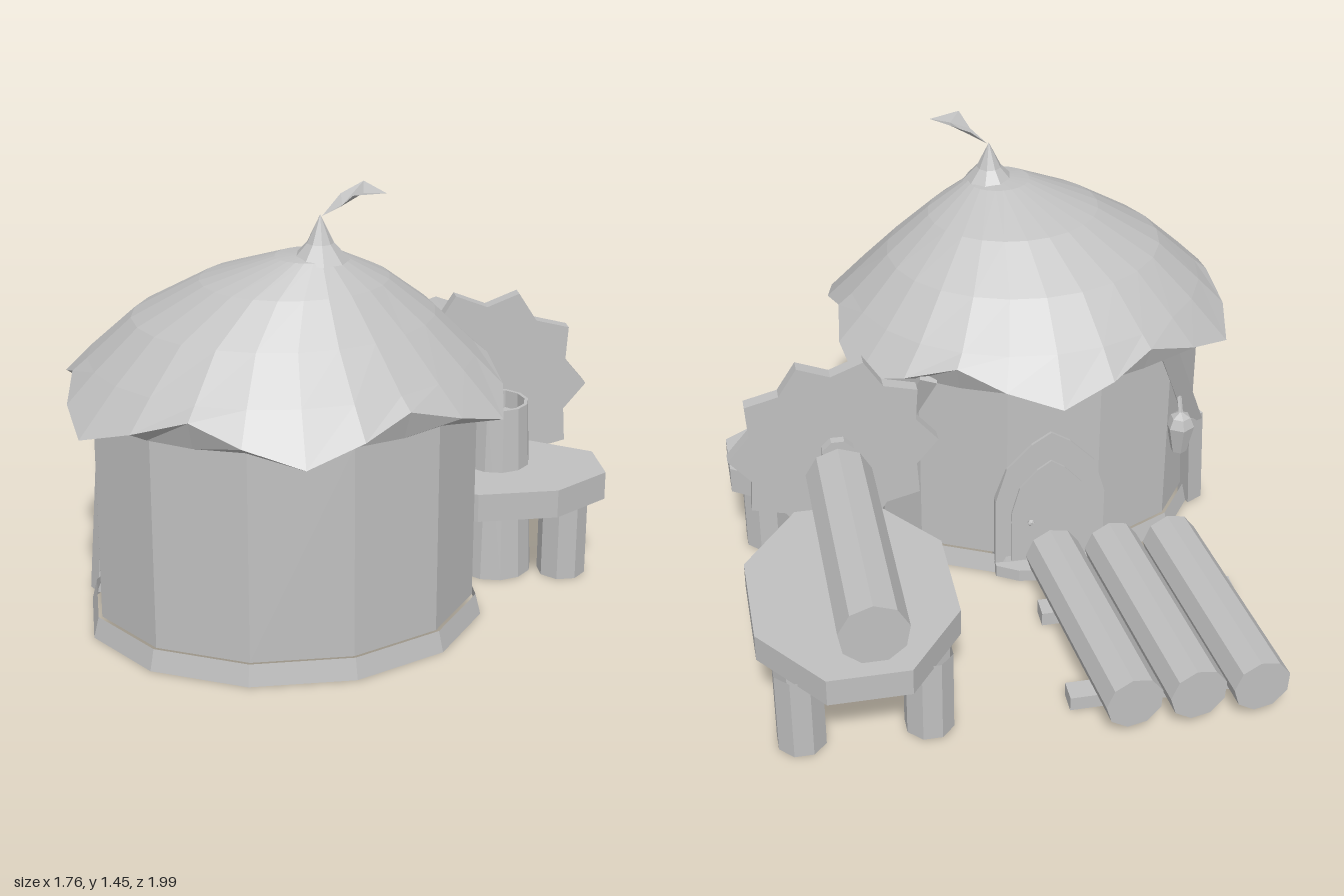
import * as THREE from 'three';

const SX = 1.18; // the hut is wider than deep
const HUT = { x: -0.21, z: 0.37 };

export function createModel() {
  const model = new THREE.Group();
  model.name = 'woodcutterHut';
  const grey = new THREE.MeshStandardMaterial({ color: 0xc0c0c0, flatShading: true, side: THREE.DoubleSide });
  grey.name = 'plainGrey';

  const add = (name, geo, x = 0, y = 0, z = 0) => {
    const mesh = new THREE.Mesh(geo, grey);
    mesh.name = name;
    mesh.position.set(x, y, z);
    model.add(mesh);
    return mesh;
  };
  const surface = (points, index) => {
    const geo = new THREE.BufferGeometry();
    geo.setAttribute('position', new THREE.Float32BufferAttribute(points, 3));
    geo.setIndex(index);
    geo.computeVertexNormals();
    return geo;
  };

  // Places a geometry built along y so that it runs from a to b
  const between = (name, a, b, makeGeo) => {
    const p = new THREE.Vector3(...a), q = new THREE.Vector3(...b);
    const dir = q.clone().sub(p);
    const mesh = add(name, makeGeo(dir.length()));
    mesh.position.copy(p).add(q).multiplyScalar(0.5);
    mesh.quaternion.setFromUnitVectors(new THREE.Vector3(0, 1, 0), dir.normalize());
  };
  const rod = (name, a, b, r, sides = 8, open = false) => between(name, a, b,
    len => new THREE.CylinderGeometry(r, r, len, sides, 1, open, Math.PI / sides));
  const lathe = (points, sides) => new THREE.LatheGeometry(points.map(p => new THREE.Vector2(...p)), sides);

  // Flat outline with thickness
  const plate = (points, depth) => new THREE.ExtrudeGeometry(
    new THREE.Shape(points.map(p => new THREE.Vector2(...p))), { depth, bevelEnabled: false });

  // Hut walls with a raised floor, and an open plinth ring, twelve sided ovals
  const drum = (name, rTop, rBottom, y0, y1, open) => add(name,
    new THREE.CylinderGeometry(rTop, rBottom, y1 - y0, 12, 1, open, Math.PI / 12).scale(1.213, 1, 1),
    HUT.x, (y0 + y1) / 2, HUT.z + 0.005);
  drum('wall', 0.506, 0.506, 0.07, 0.757, false);
  drum('plinth', 0.516, 0.53, 0, 0.07, true);

  // Roof: flat soffit, eave with six drooping points, leaning towards its top
  const N = 24;
  const rings = [
    { y: 0.757, r: 0.44, sx: 1.21, x: -0.21, z: 0.37 },
    { y: 0.757, r: 0.515, sx: 1.21, x: -0.21, z: 0.37 },
    { eave: true, sx: SX, x: -0.21, z: 0.37 },
    { y: 0.89, r: 0.512, sx: SX, x: -0.21, z: 0.37 },
    { y: 1.02, r: 0.38, sx: 1.24, x: -0.205, z: 0.383 },
    { y: 1.14, r: 0.238, sx: 1.23, x: -0.175, z: 0.415 },
    { y: 1.225, r: 0.09, sx: SX, x: -0.135, z: 0.47 },
    { y: 1.24, r: 0, sx: SX, x: -0.105, z: 0.485 },
  ];
  const pos = [], idx = [];
  rings.forEach((ring, j) => {
    for (let i = 0; i <= N; i++) {
      const t = (i / N) * Math.PI * 2;
      const wave = Math.cos(t * 6);
      const r = ring.eave ? 0.588 + 0.037 * wave : ring.r;
      const y = ring.eave ? 0.798 - 0.052 * wave : ring.y;
      pos.push(ring.x + r * ring.sx * Math.sin(t), y, ring.z + r * Math.cos(t));
      if (j && i < N) {
        const a = (j - 1) * (N + 1) + i, b = a + N + 1;
        idx.push(a, a + 1, b + 1, a, b + 1, b);
      }
    }
  });
  add('roof', surface(pos, idx));
  add('roofTip', lathe([[0.09, 1.215], [0.042, 1.268], [0, 1.355]], 9), -0.105, 0, 0.487);

  // Leaf curling from the roof tip: stem, then near edge, middle and far edge twice, then point
  add('leaf', surface([
    -0.1, 1.35, 0.49,
    -0.05, 1.39, 0.535, -0.04, 1.385, 0.5, -0.04, 1.41, 0.46,
    -0.02, 1.435, 0.583, 0.02, 1.425, 0.52, 0.03, 1.445, 0.455,
    0.085, 1.43, 0.55,
  ], [0, 1, 2, 0, 2, 3, 1, 4, 5, 1, 5, 2, 2, 5, 6, 2, 6, 3, 4, 7, 5, 5, 7, 6]));

  // Pointed door in the back wall, with frame, knob and step
  const arch = (w, h) => [[-w, 0], [w, 0], [w, h * 0.5], [w * 0.8, h * 0.75], [w * 0.35, h * 0.92],
    [0, h], [-w * 0.35, h * 0.92], [-w * 0.8, h * 0.75], [-w, h * 0.5]];
  add('doorFrame', plate(arch(0.19, 0.53), 0.05), -0.2, 0.04, -0.124);
  add('doorPanel', plate(arch(0.135, 0.41), 0.02), -0.2, 0.05, -0.132);
  add('doorKnob', new THREE.IcosahedronGeometry(0.013), -0.13, 0.217, -0.143);
  add('doorStep', new THREE.CylinderGeometry(0.2, 0.2, 0.045, 10).scale(1, 1, 0.42), -0.2, 0.0225, -0.115);

  // Bent roof props on both back corners
  for (const s of [-1, 1]) {
    const at = (dx, y, z) => [HUT.x + s * dx, y, z];
    const beam = len => new THREE.BoxGeometry(0.06, len + 0.02, 0.06);
    between('upperProp', at(0.41, 0.78, -0.02), at(0.555, 0.4, 0.135), beam);
    between('lowerProp', at(0.555, 0.4, 0.135), at(0.585, 0.015, 0.18), beam);
  }

  // Lantern hanging beside a prop
  add('lantern', lathe([[0, -0.085], [0.028, -0.08], [0.05, 0.025], [0.035, 0.06], [0, 0.08]], 6), -0.69, 0.42, 0.015);
  rod('lanternHook', [-0.69, 0.49, 0.015], [-0.69, 0.57, 0.06], 0.008, 5);

  // Eight sided work tables
  const table = (name, z, hw, hd) => {
    const a = hw * 0.41, b = hd * 0.42;
    const geo = plate([[a, hd], [-a, hd], [-hw, b], [-hw, -b], [-a, -hd], [a, -hd], [hw, -b], [hw, b]].reverse(), 0.095);
    add(name, geo.rotateX(-Math.PI / 2), 0.543, 0.29, z);
  };
  table('frontTable', 0.222, 0.32, 0.212);
  table('backTable', -0.57, 0.32, 0.42);
  for (const [x, z] of [[0.745, 0.23], [0.745, -0.815], [0.34, -0.815]]) {
    rod('tableLeg', [x, 0, z], [x, 0.3, z], 0.081, 8, true);
  }

  // Hollow tapered post through the front table
  add('axlePost', lathe([[0.13, 0], [0.104, 0.6], [0.092, 0.6], [0.092, 0.54], [0, 0.54]], 12), 0.525, 0, 0.158);

  // Ten toothed saw wheel on its axle
  const teeth = Array.from({ length: 20 }, (_, i) => {
    const r = i % 2 ? 0.29 : 0.35, t = (i * Math.PI) / 10;
    return [r * Math.cos(t), r * Math.sin(t)];
  });
  add('sawWheel', plate(teeth, 0.045), 0.526, 0.567, -0.083);
  rod('axle', [0.515, 0.585, -0.1], [0.515, 0.585, 0.172], 0.036, 6);
  rod('axleHub', [0.515, 0.567, -0.112], [0.515, 0.567, 0.04], 0.057, 8);

  // Log being cut
  rod('tableLog', [0.517, 0.488, -0.93], [0.517, 0.488, -0.12], 0.112, 9);

  // Log pile on two bars
  for (let i = 0; i < 3; i++) {
    const x = i * 0.206;
    rod('pileLog', [-0.695 + x, 0.128, -0.988], [-0.605 + x, 0.128, -0.203], 0.096, 9);
  }
  for (const z of [-0.39, -0.81]) {
    add('pileBar', new THREE.BoxGeometry(0.67, 0.05, 0.075), -0.445, 0.025, z);
  }

  return model;
}
